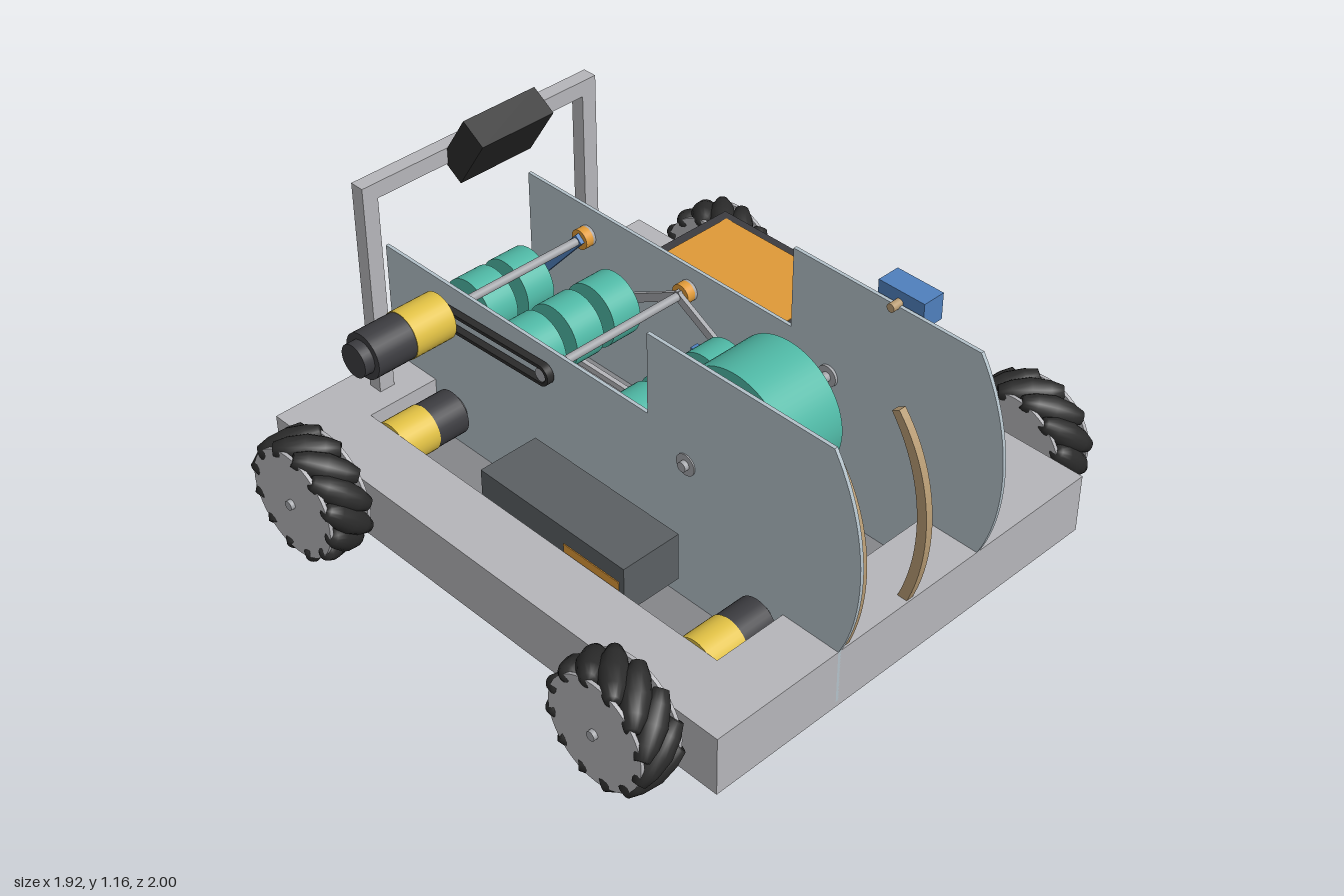
import * as THREE from 'three';

const C = {
  alu: 0xb6b6ba, floor: 0x85868a, plate: 0xb4c2ca, teal: 0x4fb8a5, dark: 0x3c3c40, black: 0x2b2b2b,
  yellow: 0xe0c044, blue: 0x4f80bd, orange: 0xe09a38, tan: 0xb89c74, steel: 0xa4a6aa, grey: 0x5b6063, green: 0x50dc78,
};
const mats = {};
const mat = (c) => (mats[c] ??= new THREE.MeshStandardMaterial({ color: C[c], side: c === 'plate' ? THREE.DoubleSide : THREE.FrontSide }));

export function createModel() {
  const root = new THREE.Group();
  root.name = 'wheeledRobot';

  const add = (name, geo, c, parent = root) => {
    const m = new THREE.Mesh(geo, mat(c));
    m.name = name;
    parent.add(m);
    return m;
  };
  // Box given by its limits on each axis
  const box = (name, c, x0, x1, y0, y1, z0, z1) => {
    const m = add(name, new THREE.BoxGeometry(x1 - x0, y1 - y0, z1 - z0), c);
    m.position.set((x0 + x1) / 2, (y0 + y1) / 2, (z0 + z1) / 2);
    return m;
  };
  // Cylinder lying along x
  const rod = (name, c, x0, x1, y, z, r, parent = root, seg = 32) => {
    const m = add(name, new THREE.CylinderGeometry(r, r, Math.abs(x1 - x0), seg).rotateZ(Math.PI / 2), c, parent);
    m.position.set((x0 + x1) / 2, y, z);
    return m;
  };
  // Flat bar at a given x between two (z, y) points
  const link = (name, c, x, z0, y0, z1, y1, w = 0.035, t = 0.015) => {
    const m = add(name, new THREE.BoxGeometry(t, w, Math.hypot(z1 - z0, y1 - y0) + w), c);
    m.position.set(x, (y0 + y1) / 2, (z0 + z1) / 2);
    m.rotation.x = -Math.atan2(y1 - y0, z1 - z0);
    return m;
  };
  // Extrude a (z, y) outline sideways, centred on x
  const slab = (name, c, shape, x, t) => {
    const g = new THREE.ExtrudeGeometry(shape, { depth: t, bevelEnabled: false, curveSegments: 24 });
    g.translate(0, 0, -t / 2).rotateY(-Math.PI / 2);
    const m = add(name, g, c);
    m.position.x = x;
    return m;
  };
  // Belt loop around two pulleys
  const belt = (name, x, z0, y0, z1, y1, r) => {
    const a = Math.atan2(y1 - y0, z1 - z0), s = new THREE.Shape(), h = new THREE.Path();
    for (const [p, q] of [[s, r], [h, r - 0.012]]) {
      p.absarc(z0, y0, q, a + Math.PI / 2, a + Math.PI * 1.5, false);
      p.absarc(z1, y1, q, a - Math.PI / 2, a + Math.PI / 2, false);
      p.closePath();
    }
    s.holes.push(h);
    slab(name, 'black', s, x, 0.025);
    rod('pulley', 'steel', x - 0.01, x + 0.01, y0, z0, r - 0.014);
    rod('pulley', 'steel', x - 0.01, x + 0.01, y1, z1, r - 0.014);
  };

  // Chassis
  box('frontBeam', 'alu', -0.56, 0.56, 0.08, 0.29, 0.73, 0.94);
  for (const s of [-1, 1]) {
    const side = (a, b) => [Math.min(s * a, s * b), Math.max(s * a, s * b)];
    box('sideRail', 'alu', ...side(0.56, 0.77), 0.08, 0.29, -0.97, 0.94);
    box('rearBeam', 'alu', ...side(0.3, 0.56), 0.08, 0.29, -0.97, -0.77);
    box('gantryPost', 'alu', ...side(0.41, 0.465), 0.29, 0.985, -0.89, -0.84);
  }
  box('floorPanel', 'floor', -0.56, 0.56, 0.08, 0.1, -0.73, 0.73);
  link('intakeRamp', 'floor', 0, -0.74, 0.085, -0.96, 0.015, 0.012, 0.57);

  // Rear gantry with tilted camera
  box('gantryBar', 'alu', -0.465, 0.465, 0.985, 1.04, -0.89, -0.84);
  const cam = new THREE.Group();
  cam.name = 'camera';
  cam.position.set(0, 1.055, -0.77);
  cam.rotation.x = 0.57;
  add('cameraBody', new THREE.BoxGeometry(0.28, 0.21, 0.1), 'black', cam);
  const lens = add('cameraLens', new THREE.CylinderGeometry(0.026, 0.026, 0.012, 24).rotateX(Math.PI / 2), 'green', cam);
  lens.position.set(0, 0.02, -0.053);
  root.add(cam);

  // Upright side plates
  const outline = new THREE.Shape();
  outline.moveTo(-0.97, 0.1);
  outline.lineTo(-0.97, 0.7);
  outline.lineTo(0.19, 0.7);
  outline.lineTo(0.19, 0.98);
  outline.lineTo(0.89, 0.98);
  outline.bezierCurveTo(1.02, 0.78, 1.04, 0.5, 0.94, 0.29);
  outline.lineTo(0.94, 0.1);
  outline.closePath();
  for (const x of [-0.295, 0.29]) slab('sidePlate', 'plate', outline, x, 0.012);

  // Curved front guides
  const guide = new THREE.Shape();
  guide.moveTo(0.86, 0.93);
  guide.bezierCurveTo(1.01, 0.75, 1.01, 0.48, 0.93, 0.28);
  guide.lineTo(0.895, 0.28);
  guide.bezierCurveTo(0.975, 0.48, 0.975, 0.73, 0.835, 0.915);
  guide.closePath();
  slab('frontGuide', 'tan', guide, -0.27, 0.036);
  slab('frontGuide', 'tan', guide, 0, 0.025);

  // Launch wheel
  rod('launchWheel', 'teal', -0.11, 0.11, 0.605, 0.345, 0.215, root, 64);
  rod('launchShaft', 'steel', -0.32, 0.33, 0.605, 0.345, 0.016);
  for (const x of [-0.29, 0.29]) rod('launchBearing', 'steel', x - 0.015, x + 0.015, 0.605, 0.345, 0.036);
  for (const s of [-1, 1]) rod('launchHub', 'steel', s * 0.11, s * 0.135, 0.605, 0.345, 0.04);

  // Three rows of feed rollers
  for (const [z, y] of [[-0.89, 0.37], [-0.485, 0.48], [0.01, 0.48]]) {
    for (const x of [-0.155, 0, 0.155]) rod('feedRoller', 'teal', x - 0.055, x + 0.055, y, z, 0.11, root, 48);
    rod('rollerShaft', 'steel', -0.255, 0.255, y, z, 0.014);
    for (const s of [-1, 1]) rod('rollerCollar', 'steel', s * 0.215, s * 0.225, y, z, 0.03);
  }
  // Pivot shafts and swing arms
  for (const [z, y] of [[-0.69, 0.595], [-0.235, 0.615]]) {
    rod('pivotShaft', 'steel', -0.32, 0.315, y, z, 0.014);
    for (const x of [-0.285, 0.29]) rod('pivotBearing', 'steel', x - 0.015, x + 0.015, y, z, 0.035);
    rod('pivotCoupler', 'orange', 0.245, 0.275, y, z, 0.035);
  }
  for (const s of [-1, 1]) {
    link('rearArm', s > 0 ? 'blue' : 'steel', s * 0.238, -0.69, 0.595, -0.89, 0.37);
    link('middleArm', 'steel', s * 0.238, -0.235, 0.615, -0.485, 0.48, 0.03);
    link('frontArm', 'steel', s * 0.238, -0.235, 0.615, 0.01, 0.48, 0.03);
    box('feedSlat', 'alu', s * 0.06 - 0.008, s * 0.06 + 0.008, 0.31, 0.33, -0.69, 0.2);
  }
  box('feedCrossBar', 'alu', -0.25, 0.25, 0.3, 0.34, 0.19, 0.25);
  belt('intakeBelt', -0.318, -0.69, 0.595, -0.235, 0.615, 0.036);
  belt('launchBelt', 0.315, 0.345, 0.605, 0.345, 0.36, 0.042);

  // Motors: a run of coaxial cylinders
  const motor = (name, y, z, r, parts) => {
    const g = new THREE.Group();
    g.name = name;
    for (const [c, x0, x1, k] of parts) rod(name + 'Part', c, x0, x1, y, z, r * k, g);
    root.add(g);
  };
  for (const s of [-1, 1]) for (const z of [0.645, -0.675])
    motor('driveMotor', 0.225, z, 0.078, [['yellow', s * 0.43, s * 0.56, 1], ['dark', s * 0.315, s * 0.43, 0.97], ['dark', s * 0.3, s * 0.315, 0.7]]);
  motor('intakeMotor', 0.595, -0.69, 0.08, [['yellow', -0.48, -0.33, 1], ['dark', -0.625, -0.48, 0.97], ['dark', -0.66, -0.625, 0.7]]);
  motor('launchMotor', 0.36, 0.345, 0.075, [['dark', 0.33, 0.57, 1], ['dark', 0.57, 0.6, 0.65]]);

  // Twin electronics trays on a shelf
  box('trayShelf', 'floor', 0.3, 0.77, 0.275, 0.295, -0.57, 0.19);
  for (const [y0, y1] of [[0.3, 0.38], [0.44, 0.525]]) {
    box('electronicsTray', 'dark', 0.34, 0.765, y0, y1, -0.555, 0.045);
    box('electronicsCover', 'orange', 0.37, 0.735, y1 - 0.01, y1 + 0.003, -0.52, 0.005);
  }
  for (const x of [0.365, 0.74]) for (const z of [-0.53, 0.02]) {
    const post = add('trayPost', new THREE.CylinderGeometry(0.01, 0.01, 0.08, 12), 'steel');
    post.position.set(x, 0.41, z);
  }

  // Battery case
  box('batteryCase', 'grey', -0.55, -0.335, 0.2, 0.37, -0.26, 0.35);
  box('batteryPanel', 'orange', -0.553, -0.54, 0.22, 0.31, 0.1, 0.33);

  // Servos
  box('upperServo', 'blue', 0.3, 0.38, 0.93, 1.02, 0.5, 0.67);
  rod('servoPin', 'tan', 0.262, 0.3, 0.98, 0.58, 0.014);
  box('lowerServo', 'blue', 0.3, 0.385, 0.3, 0.475, 0.1, 0.195);
  box('innerServo', 'blue', 0.055, 0.22, 0.285, 0.35, 0.1, 0.185);
  box('smallServo', 'blue', 0.235, 0.265, 0.4, 0.45, -0.18, -0.13);

  // Wheels with angled barrel rollers
  const barrel = new THREE.LatheGeometry(
    [[0, -0.1], [0.022, -0.1], [0.037, -0.06], [0.046, 0], [0.037, 0.06], [0.022, 0.1], [0, 0.1]].map((p) => new THREE.Vector2(...p)), 16);
  for (const s of [-1, 1]) for (const z of [0.65, -0.67]) {
    const w = new THREE.Group();
    w.name = 'wheel';
    w.position.set(s * 0.87, 0.225, z);
    for (const x of [-0.07, 0.07]) rod('wheelDisc', 'alu', x - 0.006, x + 0.006, 0, 0, 0.183, w, 48);
    rod('wheelHub', 'steel', -0.07, 0.07, 0, 0, 0.07, w);
    rod('wheelAxle', 'steel', -s * 0.14, s * 0.09, 0, 0, 0.016, w);
    for (let i = 0; i < 12; i++) {
      const spoke = new THREE.Group();
      spoke.rotation.x = (i / 12) * Math.PI * 2;
      const r = add('wheelRoller', barrel, 'black', spoke);
      r.position.z = 0.167;
      r.rotation.z = (s * Math.sign(z) * Math.PI) / 4;
      w.add(spoke);
    }
    root.add(w);
  }
  return root;
}
